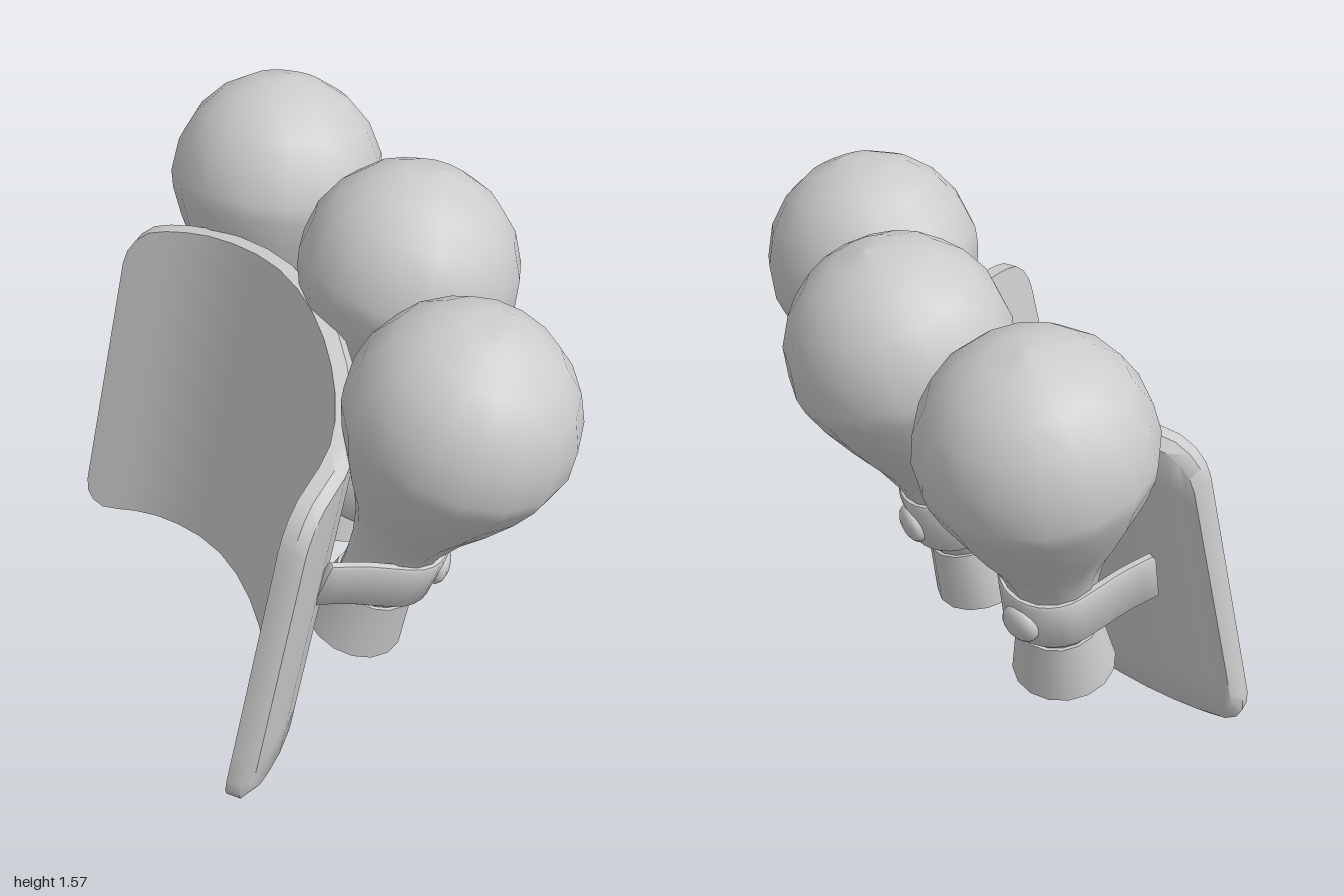
import * as THREE from 'three';
import { toCreasedNormals } from 'three/addons/utils/BufferGeometryUtils.js';

const grey = new THREE.MeshStandardMaterial({ color: 0xcccccc });
const v3 = (x, y, z) => new THREE.Vector3(x, y, z);

function part(name, geometry) {
  const mesh = new THREE.Mesh(geometry, grey);
  mesh.name = name;
  return mesh;
}

// Bulb: narrow neck flaring into a ball, turned around the flask axis
function bulbGeometry() {
  const profile = [[0, 0.15], [0.112, 0.15], [0.115, 0.25], [0.128, 0.36], [0.15, 0.45],
    [0.187, 0.54], [0.242, 0.64], [0.295, 0.75], [0.328, 0.84]].map(p => new THREE.Vector2(...p));
  const steps = 5, radius = 0.338, centre = 0.896;
  for (let i = 0; i <= steps; i++) {
    const a = (i / steps) * Math.PI / 2;
    profile.push(new THREE.Vector2(i === steps ? 0 : radius * Math.cos(a), centre + radius * Math.sin(a)));
  }
  return new THREE.LatheGeometry(profile, 16);
}

// Strap: a ribbon wrapping the outer half of the neck, ends flaring to the plate
function strapGeometry() {
  const half = [[-0.2, 0.2], [-0.1, 0.165], [0, 0.143], [0.075, 0.12], [0.124, 0.07]];
  const path = new THREE.SplineCurve([
    ...half.map(([x, y]) => new THREE.Vector2(x, -y)),
    new THREE.Vector2(0.142, 0),
    ...half.slice().reverse().map(([x, y]) => new THREE.Vector2(x, y)),
  ]);
  const offset = d => Array.from({ length: 25 }, (_, i) => {
    const p = path.getPoint(i / 24), t = path.getTangent(i / 24);
    return new THREE.Vector2(p.x + t.y * d, p.y - t.x * d);
  });
  const shape = new THREE.Shape([...offset(0.008), ...offset(-0.01).reverse()]);
  const geometry = new THREE.ExtrudeGeometry(shape, {
    depth: 0.155, bevelThickness: 0.008, bevelSize: 0.006, bevelSegments: 1,
  });
  geometry.translate(0, 0, -0.0775).rotateX(-Math.PI / 2);
  return toCreasedNormals(geometry, 0.9);
}

// One flask from its base centre to its ball centre; turn is the outward heading
function flask(name, base, ball, turn) {
  const group = new THREE.Group();
  group.name = name;
  const axis = ball.clone().sub(base).normalize();
  const out = v3(Math.cos(turn), 0, Math.sin(turn));
  out.addScaledVector(axis, -out.dot(axis)).normalize();
  const side = out.clone().cross(axis);
  group.quaternion.setFromRotationMatrix(new THREE.Matrix4().makeBasis(out, axis, side));
  group.position.copy(base);

  const stopper = part('stopper', new THREE.CylinderGeometry(0.123, 0.154, 0.19, 16));
  stopper.position.y = 0.095;
  const strap = part('strap', strapGeometry());
  strap.position.y = 0.325;
  const stud = part('stud', new THREE.SphereGeometry(0.062, 14, 10));
  stud.scale.x = 0.55;
  stud.position.set(0.152, 0.315, 0);
  group.add(part('bulb', bulbGeometry()), stopper, strap, stud);
  return group;
}

// Back plate: a box bent along the lower edge, with round corners and a bevelled outer face
function plateGeometry() {
  const edge = new THREE.CatmullRomCurve3([
    v3(-0.64, 0.0, 0.65), v3(-0.4, 0.06, 0.45), v3(-0.255, 0.14, 0.1),
    v3(-0.235, 0.175, -0.25), v3(-0.34, 0.165, -0.53), v3(-0.52, 0.12, -0.74),
  ]);
  const rise = v3(0.21, 1.04, 0.03), length = edge.getLength();
  const corner = 0.11, thickness = 0.075;
  const geometry = new THREE.BoxGeometry(2, 2, 2, 22, 8, 2);
  const pos = geometry.attributes.position;
  for (let i = 0; i < pos.count; i++) {
    const layer = pos.getZ(i);
    const inset = layer > 0.5 ? 0.028 : 0;
    // columns gather toward the ends so that the corners come out round
    const w = Math.sin(pos.getX(i) * Math.PI / 2);
    const d = Math.min(corner, (1 - Math.abs(w)) * length / 2);
    const cut = corner - Math.sqrt(corner ** 2 - (corner - d) ** 2);
    const u = 0.5 + w * (0.5 - inset / length);
    const h = 0.5 + pos.getY(i) * (0.5 - cut - inset);
    const tangent = edge.getTangentAt(u);
    const normal = v3(-tangent.z, 0, tangent.x).normalize();
    const p = edge.getPointAt(u).addScaledVector(rise, h)
      .addScaledVector(normal, thickness * [0, 0.6, 1][Math.round(layer) + 1]);
    pos.setXYZ(i, p.x, p.y, p.z);
  }
  return toCreasedNormals(geometry, 0.8);
}

export function createModel() {
  const model = new THREE.Group();
  model.name = 'flaskRack';
  model.add(
    part('backPlate', plateGeometry()),
    flask('frontFlask', v3(-0.075, 0.34, 0.4), v3(0.115, 1.18, 0.655), 0.5),
    flask('middleFlask', v3(0.055, 0.378, -0.048), v3(0.302, 1.24, 0), 0),
    flask('backFlask', v3(0.02, 0.38, -0.53), v3(0.188, 1.25, -0.665), -0.42),
  );
  return model;
}
